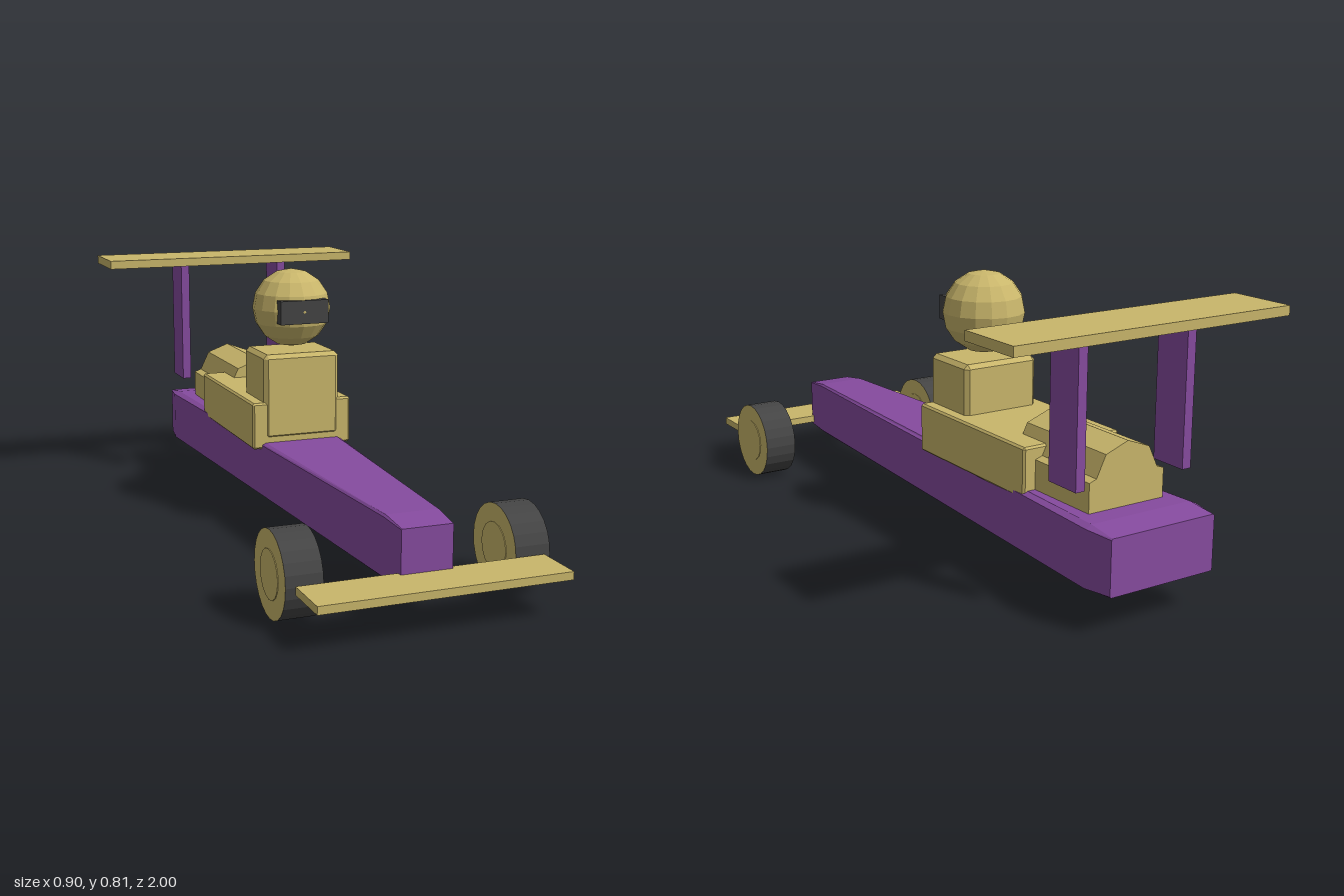
import * as THREE from 'three';

const material = (name, color) => {
  const m = new THREE.MeshStandardMaterial({ color, flatShading: true });
  m.name = name;
  return m;
};

// Closed solid through cross-sections listed from front (+z) to back,
// each section a counter-clockwise ring of [x, y] points
function loft(sections) {
  const n = sections[0].ring.length, pos = [], idx = [];
  sections.forEach(({ z, ring }) => ring.forEach(([x, y]) => pos.push(x, y, z)));
  for (let s = 0; s < sections.length - 1; s++) {
    for (let i = 0; i < n; i++) {
      const a = s * n + i, b = s * n + (i + 1) % n;
      idx.push(a, a + n, b + n, a, b + n, b);
    }
  }
  const last = (sections.length - 1) * n;
  for (let i = 1; i < n - 1; i++) {
    idx.push(0, i, i + 1, last, last + i + 1, last + i);
  }
  const g = new THREE.BufferGeometry();
  g.setAttribute('position', new THREE.Float32BufferAttribute(pos, 3));
  g.setIndex(idx);
  const flat = g.toNonIndexed();
  flat.computeVertexNormals();
  return flat;
}

// Rectangle with chamfered corners: half width w, bottom y0, top y1, chamfer cx by cy
const chamfered = (w, y0, y1, cx, cy = cx) => [
  [w, y0 + cy], [w, y1 - cy], [w - cx, y1], [-w + cx, y1],
  [-w, y1 - cy], [-w, y0 + cy], [-w + cx, y0], [w - cx, y0],
];

// Box with chamfered edges all round
const bevelBox = (w, y0, y1, zFront, zBack, c) => loft([
  { z: zFront, ring: chamfered(w - c, y0 + c, y1 - c, c * 0.1) },
  { z: zFront - c, ring: chamfered(w, y0, y1, c) },
  { z: zBack + c, ring: chamfered(w, y0, y1, c) },
  { z: zBack, ring: chamfered(w - c, y0 + c, y1 - c, c * 0.1) },
]);

export function createModel() {
  const purple = material('purple paint', 0x864b9f);
  const tan = material('sand paint', 0xc9b66b);
  const black = material('dark rubber', 0x444444);
  const model = new THREE.Group();

  const add = (name, geometry, mat, x = 0, y = 0, z = 0) => {
    const mesh = new THREE.Mesh(geometry, mat);
    mesh.name = name;
    mesh.position.set(x, y, z);
    model.add(mesh);
    return mesh;
  };
  const addBox = (name, mat, [x0, x1], [y0, y1], [z0, z1]) =>
    add(name, new THREE.BoxGeometry(x1 - x0, y1 - y0, z1 - z0), mat,
      (x0 + x1) / 2, (y0 + y1) / 2, (z0 + z1) / 2);

  // Tapered chassis, narrow at the nose
  add('chassis', loft([
    { z: 0.865, ring: chamfered(0.075, 0.098, 0.255, 0.002) },
    { z: 0.77, ring: chamfered(0.083, 0.09, 0.268, 0.006) },
    { z: -0.91, ring: chamfered(0.187, 0.1, 0.281, 0.02, 0.009) },
    { z: -1, ring: chamfered(0.173, 0.11, 0.271, 0.004) },
  ]), purple);

  // Cockpit and driver
  add('cockpit', bevelBox(0.165, 0.255, 0.404, -0.06, -0.605, 0.006), tan);
  add('driverTorso', bevelBox(0.126, 0.284, 0.556, -0.056, -0.256, 0.013), tan);
  add('helmet', new THREE.SphereGeometry(0.125, 16, 8), tan, 0, 0.69, -0.157);
  addBox('visor', black, [-0.079, 0.079], [0.653, 0.727], [-0.075, -0.033]);

  // Faceted engine cover
  const cover = [
    [0.126, 0.275], [0.126, 0.365], [0.103, 0.373], [0.073, 0.435], [0, 0.462],
    [-0.073, 0.435], [-0.103, 0.373], [-0.126, 0.365], [-0.126, 0.275],
  ];
  add('engineCover', loft([{ z: -0.49, ring: cover }, { z: -0.845, ring: cover }]), tan);

  // Wings
  addBox('frontWing', tan, [-0.36, 0.36], [0.108, 0.131], [0.848, 1]);
  addBox('rearWing', tan, [-0.45, 0.45], [0.766, 0.794], [-0.957, -0.747]);

  // Rear wing struts and front wheels, mirrored left and right
  const tyre = new THREE.CylinderGeometry(0.123, 0.123, 0.105, 24).rotateZ(Math.PI / 2);
  const hub = new THREE.CylinderGeometry(0.07, 0.07, 0.109, 16).rotateZ(Math.PI / 2);
  for (const [side, s] of [['left', 1], ['right', -1]]) {
    add(side + 'WingStrut', new THREE.BoxGeometry(0.029, 0.406, 0.118), purple,
      s * 0.18, 0.563, -0.817);
    add(side + 'Wheel', tyre, [black, tan, tan], s * 0.331, 0.123, 0.715);
    add(side + 'Hub', hub, tan, s * 0.331, 0.123, 0.715);
  }

  return model;
}
